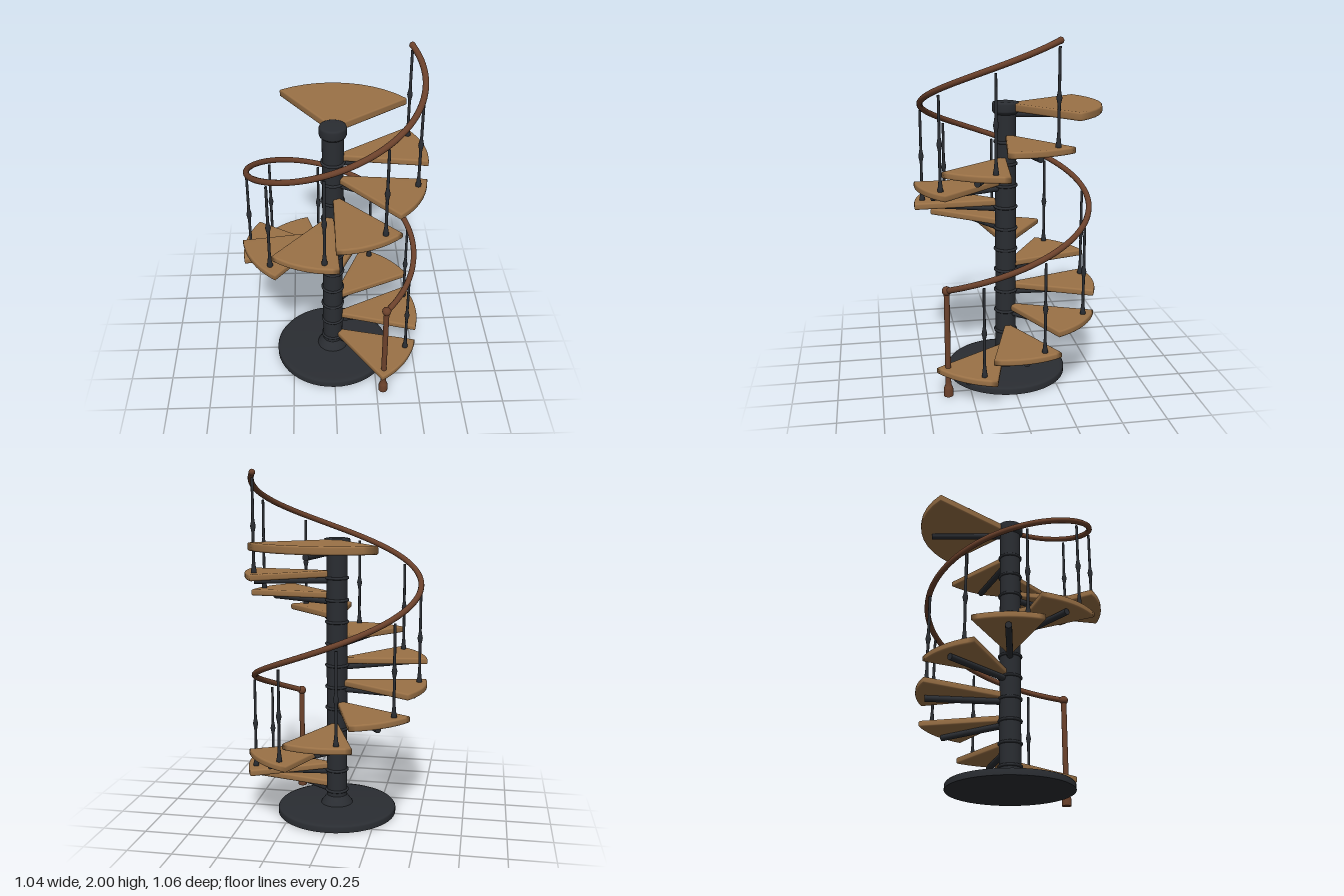
import * as THREE from 'three';
import { mergeVertices } from 'three/addons/utils/BufferGeometryUtils.js';

const metal = new THREE.MeshStandardMaterial({ color: 0x2a2d32 });
const wood = new THREE.MeshStandardMaterial({ color: 0x9a7146 });
const railWood = new THREE.MeshStandardMaterial({ color: 0x6b412b });
const rad = THREE.MathUtils.degToRad;

const STEPS = 11, FIRST = -35.5, TURN = 40.9, RISE = 0.1265, FIRST_TOP = 0.172;
const RAIL_R = 0.477, RAIL_A0 = -52, RAIL_A1 = 386, RAIL_Y0 = 0.63, RAIL_Y1 = 1.98;

function add(parent, name, geometry, material, x = 0, y = 0, z = 0) {
  const mesh = new THREE.Mesh(geometry, material);
  mesh.name = name;
  mesh.position.set(x, y, z);
  parent.add(mesh);
  return mesh;
}

function lathe(points, segments = 32) {
  return new THREE.LatheGeometry(points.map(([r, y]) => new THREE.Vector2(r, y)), segments);
}

// Softly rounded wedge around the x axis; its top lies at y = 0
function wedge(inner, outer, halfDeg, thickness, segments) {
  const shape = new THREE.Shape();
  const h = rad(halfDeg);
  shape.moveTo(inner * Math.cos(h), -inner * Math.sin(h));
  for (let i = 0; i <= segments; i++) {
    const a = -h + (2 * h * i) / segments;
    shape.lineTo(outer * Math.cos(a), outer * Math.sin(a));
  }
  shape.lineTo(inner * Math.cos(h), inner * Math.sin(h));
  shape.closePath();
  const bevel = 0.01;
  const g = new THREE.ExtrudeGeometry(shape, {
    depth: thickness - 2 * bevel, bevelEnabled: true, bevelThickness: bevel,
    bevelSize: bevel, bevelOffset: -bevel, bevelSegments: 3,
  });
  g.rotateX(-Math.PI / 2);
  g.translate(0, bevel - thickness, 0);
  g.deleteAttribute('normal');
  g.deleteAttribute('uv');
  const merged = mergeVertices(g, 1e-4);
  merged.computeVertexNormals();
  return merged;
}

// Round bar that carries a tread, reaching out from the pole
function armGeometry() {
  const g = new THREE.CylinderGeometry(0.018, 0.018, 0.43, 16);
  g.rotateZ(-Math.PI / 2);
  g.translate(0.255, -0.056, 0);
  return g;
}

class Helix extends THREE.Curve {
  getPoint(t, target = new THREE.Vector3()) {
    const a = rad(RAIL_A0 + (RAIL_A1 - RAIL_A0) * t);
    return target.set(RAIL_R * Math.cos(a), RAIL_Y0 + (RAIL_Y1 - RAIL_Y0) * t, -RAIL_R * Math.sin(a));
  }
}

export function createModel() {
  const model = new THREE.Group();
  model.name = 'spiralStaircase';
  const body = new THREE.Group();
  body.name = 'staircase';
  body.position.set(-0.004, 0, 0.006);
  model.add(body);

  // Base plate, collar, pole and cap
  add(body, 'basePlate', lathe([[0, 0], [0.349, 0], [0.349, 0], [0.349, 0.028], [0.343, 0.036],
    [0.32, 0.042], [0.1, 0.05], [0, 0.05]], 48), metal);
  add(body, 'poleCollar', lathe([[0.095, 0.045], [0.09, 0.06], [0.07, 0.085], [0.06, 0.1]]), metal);
  add(body, 'pole', new THREE.CylinderGeometry(0.06, 0.06, 1.53, 32), metal, 0, 0.815, 0);
  add(body, 'poleCap', lathe([[0.06, 1.55], [0.073, 1.562], [0.076, 1.57], [0.076, 1.607],
    [0.072, 1.617], [0.06, 1.62], [0, 1.62]]), metal);

  // Treads, each with its arm, pole ring and baluster
  const treadGeo = wedge(0.042, 0.522, 21.7, 0.038, 10);
  const armGeo = armGeometry();
  const ringGeo = new THREE.TorusGeometry(0.061, 0.0085, 10, 32).rotateX(Math.PI / 2);
  const balusterGeo = lathe([[0, -0.02], [0.016, -0.02], [0.016, 0.014], [0.013, 0.022], [0.009, 0.06],
    [0.008, 0.08], [0.008, 0.215], [0.01, 0.23], [0.0155, 0.255], [0.01, 0.28], [0.008, 0.295],
    [0.0075, 0.515], [0, 0.515]], 12);
  const offset = rad(12.2);
  for (let i = 0; i < STEPS; i++) {
    const step = new THREE.Group();
    step.name = `step${i + 1}`;
    step.position.y = FIRST_TOP + i * RISE;
    step.rotation.y = rad(FIRST + i * TURN);
    body.add(step);
    add(step, 'tread', treadGeo, wood);
    add(step, 'treadArm', armGeo, metal);
    add(step, 'poleRing', ringGeo, metal, 0, -0.042, 0);
    add(step, 'baluster', balusterGeo, metal, RAIL_R * Math.cos(offset), 0, -RAIL_R * Math.sin(offset));
  }

  // Landing at the top
  const landing = new THREE.Group();
  landing.name = 'landing';
  landing.position.y = 1.613;
  landing.rotation.y = rad(80);
  body.add(landing);
  add(landing, 'landingBoard', wedge(0.045, 0.537, 43, 0.046, 10), wood);
  add(landing, 'landingArm', armGeo, metal, 0, -0.008, 0);

  // Helical handrail with rounded ends
  const helix = new Helix();
  add(body, 'handrail', new THREE.TubeGeometry(helix, 160, 0.0165, 12, false), railWood);
  const start = helix.getPoint(0), end = helix.getPoint(1);
  add(body, 'handrailEnd', new THREE.SphereGeometry(0.018, 16, 12), railWood, end.x, end.y, end.z);

  // Newel post at the foot of the rail
  add(body, 'newelPost', lathe([[0, 0], [0.027, 0], [0.027, 0], [0.027, 0.042], [0.023, 0.054],
    [0.017, 0.068], [0.016, 0.09], [0.016, 0.62], [0, 0.62]], 20), railWood, start.x, 0, start.z);
  add(body, 'newelBall', new THREE.SphereGeometry(0.026, 20, 14), railWood, start.x, start.y, start.z);

  return model;
}
